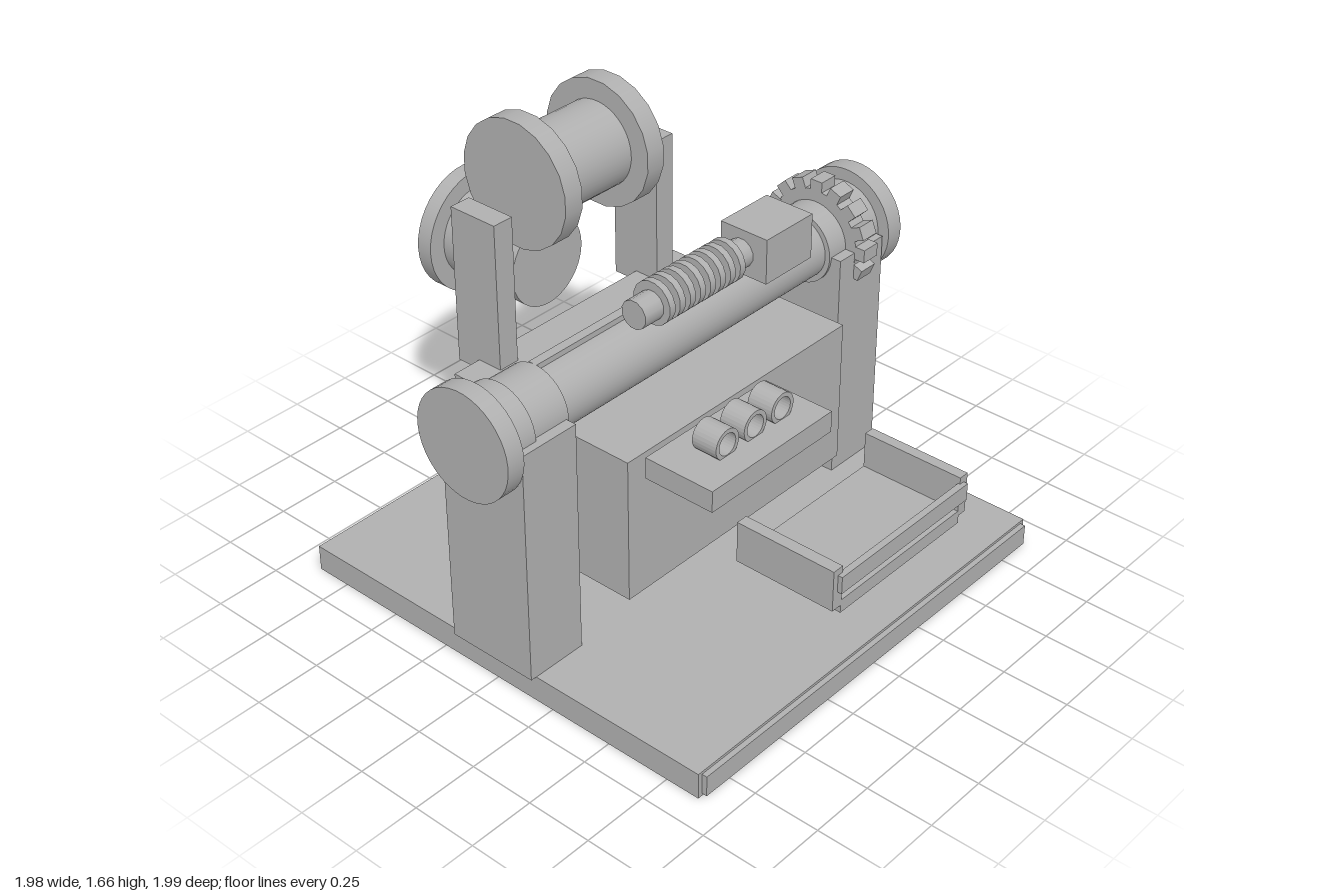
import * as THREE from 'three';

export function createModel() {
  const group = new THREE.Group();
  const grey = new THREE.MeshStandardMaterial({ color: 0xb0b0b0 });

  const add = (name, geometry) => {
    const mesh = new THREE.Mesh(geometry, grey);
    mesh.name = name;
    group.add(mesh);
    return mesh;
  };
  // Box given by its minimum and maximum on each axis
  const box = (name, x0, x1, y0, y1, z0, z1) => {
    const mesh = add(name, new THREE.BoxGeometry(x1 - x0, y1 - y0, z1 - z0));
    mesh.position.set((x0 + x1) / 2, (y0 + y1) / 2, (z0 + z1) / 2);
    return mesh;
  };
  // Cylinder along x, from x0 to x1
  const rod = (name, r, x0, x1, y, z, sides = 40) => {
    const g = new THREE.CylinderGeometry(r, r, x1 - x0, sides);
    g.rotateY(Math.PI / sides).rotateZ(Math.PI / 2);
    add(name, g).position.set((x0 + x1) / 2, y, z);
  };
  // Cylinder along z, from z0 to z1
  const drum = (name, r, x, y, z0, z1, sides = 40) => {
    const g = new THREE.CylinderGeometry(r, r, z1 - z0, sides).rotateX(Math.PI / 2);
    add(name, g).position.set(x, y, (z0 + z1) / 2);
  };

  // Base and machine body
  box('base', -0.887, 0.887, 0, 0.1, -0.887, 0.882);
  box('baseFrontPlate', -0.87, 0.87, 0.01, 0.09, 0.882, 0.902);
  box('body', -0.553, 0.553, 0.28, 0.83, -0.495, 0.29);

  // Side posts, rear uprights and the stepped roller, mirrored
  const axisY = 0.99;
  rod('roller', 0.12, -0.66, 0.66, axisY, 0);
  for (const s of [-1, 1]) {
    const span = (a, b) => (s > 0 ? [a, b] : [-b, -a]);
    box('sidePost', ...span(0.67, 0.91), 0.1, axisY, -0.18, 0.18);
    box('rearUpright', ...span(0.353, 0.436), 0.79, 1.385, -0.595, -0.395);
    rod('rollerSleeve', 0.14, ...span(0.66, 0.82), axisY, 0);
    rod('rollerCollar', 0.153, ...span(0.82, 0.92), axisY, 0);
    rod('rollerFlange', 0.2, ...span(0.92, 0.99), axisY, 0);
    box('rollerStrip', ...span(0.22, 0.66), 1.1, 1.13, -0.03, 0.005);
  }

  // Gear with square teeth around the roller
  rod('gearDisc', 0.185, 0.75, 0.82, axisY, 0);
  for (let i = 0; i < 16; i++) {
    const a = (i / 16) * Math.PI * 2;
    const tooth = add('gearTooth', new THREE.BoxGeometry(0.075, 0.05, 0.045));
    tooth.position.set(0.787, axisY + Math.sin(a) * 0.2, Math.cos(a) * 0.2);
    tooth.rotation.x = -a;
  }

  // Worm shaft with ridges, and its housing
  rod('wormShaft', 0.053, -0.3, 0.235, 1.183, 0.09, 12);
  for (let i = 0; i < 8; i++) {
    const x = -0.2 + i * 0.05;
    rod('wormRidge', 0.08, x - 0.013, x + 0.013, 1.188, 0.09, 16);
  }
  box('wormHousing', 0.235, 0.475, 1.1, 1.27, 0, 0.2);

  // Upper spool
  rod('spoolCore', 0.16, -0.16, 0.16, 1.422, -0.495);
  rod('spoolFlange', 0.237, -0.24, -0.16, 1.422, -0.495, 20);
  rod('spoolFlange', 0.237, 0.16, 0.24, 1.422, -0.495, 20);

  // Rear drum with bolted flange
  drum('rearDrum', 0.172, 0, axisY, -0.93, -0.59);
  drum('rearFlange', 0.237, 0, axisY, -0.993, -0.93);
  for (let i = 0; i < 6; i++) {
    const a = Math.PI / 6 + (i * Math.PI) / 3;
    drum('flangeBolt', 0.014, Math.cos(a) * 0.2, axisY + Math.sin(a) * 0.2, -0.998, -0.99, 8);
  }

  // Control panel with three open rings
  box('controlPanel', -0.535, 0.06, 0.79, 0.87, 0.35, 0.628);
  const ring = new THREE.Shape().absarc(0, 0, 0.056, 0, Math.PI * 2, false);
  ring.holes.push(new THREE.Path().absarc(0, 0, 0.04, 0, Math.PI * 2, true));
  for (const x of [-0.355, -0.218, -0.082]) {
    const g = new THREE.ExtrudeGeometry(ring, { depth: 0.1, bevelEnabled: false, curveSegments: 14 });
    add('panelRing', g).position.set(x, 0.913, 0.436);
  }

  // Front tray
  box('trayFloor', -0.318, 0.315, 0.45, 0.5, 0.585, 0.978);
  box('traySide', -0.36, -0.315, 0.48, 0.635, 0.585, 0.978);
  box('traySide', 0.31, 0.35, 0.48, 0.635, 0.585, 0.978);
  box('trayFrontBar', -0.338, 0.33, 0.545, 0.61, 0.97, 0.995);

  return group;
}
